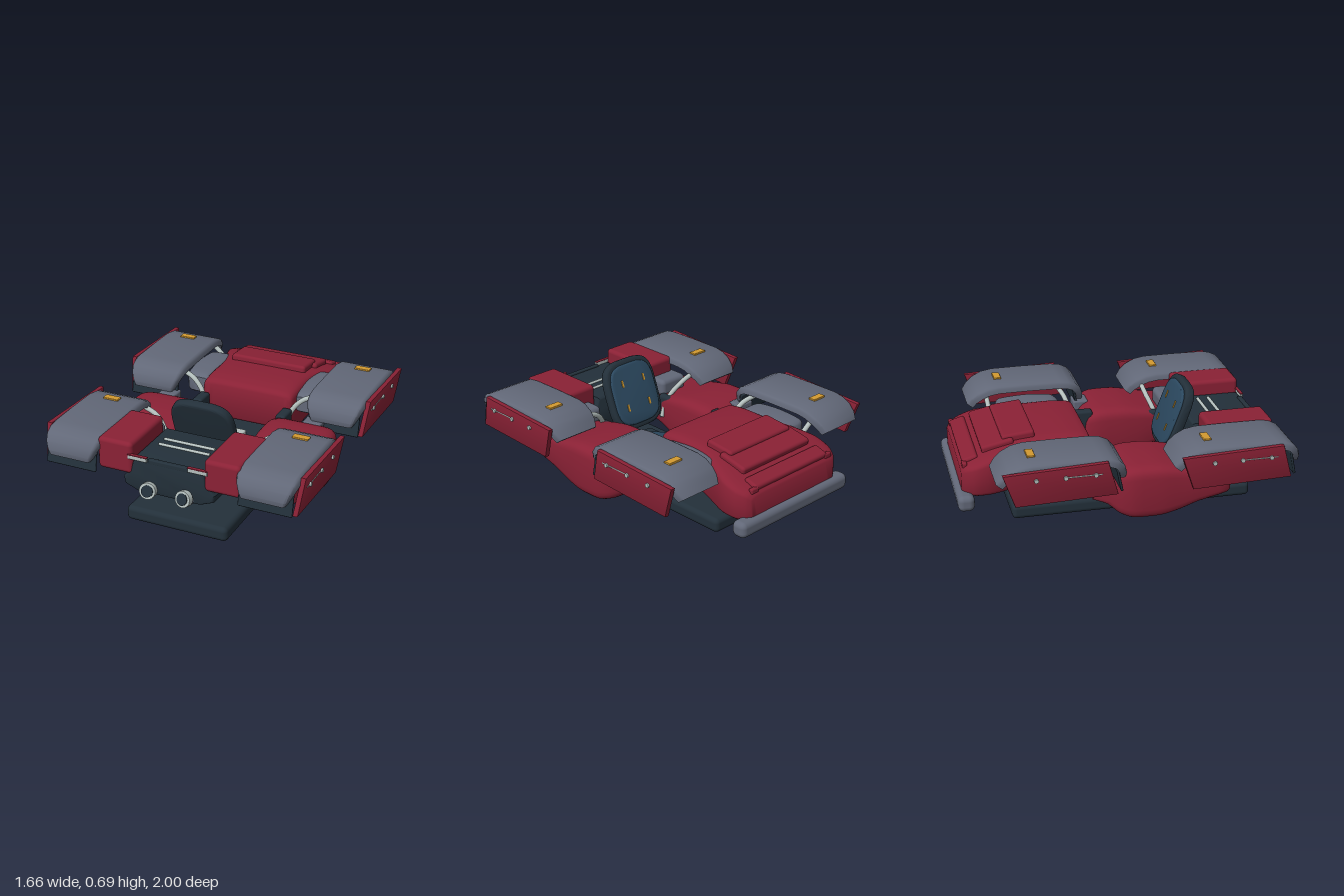
import * as THREE from 'three';
import { toCreasedNormals } from 'three/addons/utils/BufferGeometryUtils.js';
import { RoundedBoxGeometry } from 'three/addons/geometries/RoundedBoxGeometry.js';

const material = (name, color) => Object.assign(new THREE.MeshStandardMaterial({ color }), { name });
const V = (x, y, z) => new THREE.Vector3(x, y, z);

// Closed skin through a list of rings, with flat end caps
function loft(rings) {
  const n = rings[0].length, pos = [], idx = [];
  rings.forEach(r => r.forEach(p => pos.push(p.x, p.y, p.z)));
  for (let i = 0; i < rings.length - 1; i++) {
    for (let j = 0; j < n; j++) {
      const a = i * n + j, b = i * n + (j + 1) % n;
      idx.push(a, b, a + n, b, b + n, a + n);
    }
  }
  const last = (rings.length - 1) * n;
  for (let j = 0; j < n / 2 - 1; j++) {
    const [a, b, c, d] = [j, j + 1, n - 2 - j, n - 1 - j];
    idx.push(a, c, b, a, d, c, last + a, last + b, last + c, last + a, last + c, last + d);
  }
  // Signed volume decides which way the faces look
  const at = i => V(pos[i * 3], pos[i * 3 + 1], pos[i * 3 + 2]);
  let volume = 0;
  for (let i = 0; i < idx.length; i += 3) volume += at(idx[i]).dot(at(idx[i + 1]).cross(at(idx[i + 2])));
  if (volume < 0) idx.reverse();
  const g = new THREE.BufferGeometry();
  g.setAttribute('position', new THREE.Float32BufferAttribute(pos, 3));
  g.setIndex(idx);
  return toCreasedNormals(g, 0.75);
}

// Unit superellipse; a smaller e is boxier
function outline(e, n = 32) {
  const f = t => Math.sign(t) * Math.pow(Math.abs(t) < 1e-6 ? 0 : Math.abs(t), e);
  return Array.from({ length: n }, (_, i) => {
    const a = i / n * Math.PI * 2;
    return [f(Math.cos(a)), f(Math.sin(a))];
  });
}

// Hull smoothed through sections [z, x0, x1, y0, y1]
function hull(sections, e) {
  const spline = pick => new THREE.CatmullRomCurve3(sections.map(pick), false, 'catmullrom', 0.35);
  const sides = spline(s => V(s[0], s[1], s[2])), heights = spline(s => V(s[0], s[3], s[4]));
  const count = (sections.length - 1) * 3;
  return loft(Array.from({ length: count + 1 }, (_, i) => {
    const a = sides.getPoint(i / count), b = heights.getPoint(i / count);
    return outline(e).map(([u, v]) => V((a.y + a.z) / 2 + u * (a.z - a.y) / 2, (b.y + b.z) / 2 + v * (b.z - b.y) / 2, a.x));
  }));
}

// Rounded box from its limits
function block(x0, x1, y0, y1, z0, z1, r = 0.02) {
  return new RoundedBoxGeometry(x1 - x0, y1 - y0, z1 - z0, 3, r)
    .translate((x0 + x1) / 2, (y0 + y1) / 2, (z0 + z1) / 2);
}

// Cylinder between two points
function rod(a, b, r, sides = 16) {
  const d = b.clone().sub(a), g = new THREE.CylinderGeometry(r, r, d.length(), sides);
  g.applyQuaternion(new THREE.Quaternion().setFromUnitVectors(V(0, 1, 0), d.clone().normalize()));
  const m = a.clone().add(b).multiplyScalar(0.5);
  return g.translate(m.x, m.y, m.z);
}

const tube = (points, r) => new THREE.TubeGeometry(new THREE.CatmullRomCurve3(points), 20, r, 10);

function mirrored(geo) {
  const g = geo.index ? geo.toNonIndexed() : geo.clone();
  g.scale(-1, 1, 1);
  for (const key of ['position', 'normal']) {
    const a = g.attributes[key], p = V(), q = V();
    for (let i = 0; i < a.count; i += 3) {
      p.fromBufferAttribute(a, i + 1);
      q.fromBufferAttribute(a, i + 2);
      a.setXYZ(i + 1, q.x, q.y, q.z);
      a.setXYZ(i + 2, p.x, p.y, p.z);
    }
  }
  return g;
}

// Arched mudguard shell: a channel with rounded shoulders swept along a path of [z, y, half width]
function fenderGeometry(dz) {
  const path = [[0.995, 0.42, 0.14], [1, 0.45, 0.15], [0.985, 0.5, 0.168], [0.95, 0.54, 0.18], [0.9, 0.562, 0.185], [0.84, 0.57, 0.186],
    [0.64, 0.572, 0.186], [0.44, 0.57, 0.186], [0.37, 0.558, 0.184], [0.31, 0.53, 0.178], [0.265, 0.495, 0.166], [0.235, 0.455, 0.148]];
  const outer = [[0.87, 0], [0.94, -0.006], [0.98, -0.02], [1, -0.045]];
  const inner = [[0.95, -0.045], [0.92, -0.033], [0.86, -0.024]];
  const flip = list => list.map(([u, v]) => [-u, v]);
  const section = [...flip(outer).reverse(), ...outer, ...inner, ...flip(inner).reverse()];
  return loft(path.map(([z, y, hw], i) => {
    const a = path[Math.max(i - 1, 0)], b = path[Math.min(i + 1, path.length - 1)];
    const len = Math.hypot(b[0] - a[0], b[1] - a[1]);
    const nz = (b[1] - a[1]) / len, ny = -(b[0] - a[0]) / len;
    return section.map(([u, v]) => V(0.615 + u * hw, y + ny * v, z + nz * v + dz));
  }));
}

// Slanted side plate, leaning in at the bottom
function panelGeometry(dz) {
  const s = new THREE.Shape([[0.93, 0.35], [0.87, 0.555], [0.27, 0.53], [0.34, 0.33]].map(p => new THREE.Vector2(...p)));
  const g = new THREE.ExtrudeGeometry(s, { depth: 0.02, bevelThickness: 0.006, bevelSize: 0.006, bevelSegments: 2 });
  g.rotateY(-Math.PI / 2).translate(0.821, 0, dz);
  const p = g.attributes.position;
  for (let i = 0; i < p.count; i++) p.setX(i, p.getX(i) + (p.getY(i) - 0.55) * 0.1);
  return toCreasedNormals(g, 0.5);
}

export function createModel() {
  const model = new THREE.Group();
  model.name = 'vehicleBody';
  const red = material('red paint', 0x8a2135), gray = material('slate gray', 0x626878);
  const dark = material('dark trim', 0x23303a), blue = material('blue upholstery', 0x2b485f);
  const silver = material('silver metal', 0xb4bfbd), amber = material('amber', 0xd39a30);

  const add = (name, geo, mat) => {
    const m = new THREE.Mesh(geo, mat);
    m.name = name;
    model.add(m);
  };
  const pair = (name, geo, mat) => {
    add(name + 'Left', geo, mat);
    add(name + 'Right', mirrored(geo), mat);
  };

  // Floor and rear bumper
  add('floor', block(-0.33, 0.33, 0, 0.092, -0.66, 0.85, 0.03), dark);
  add('rearBumper', block(-0.465, 0.465, 0.15, 0.25, -1, -0.9, 0.035), gray);
  pair('pedal', block(0.06, 0.18, 0.09, 0.125, -0.3, -0.14, 0.01), silver);

  // Rear body with stepped lids
  add('rearBody', hull([[-0.165, -0.295, 0.295, 0.27, 0.48], [-0.185, -0.31, 0.31, 0.25, 0.505], [-0.3, -0.315, 0.315, 0.21, 0.52],
    [-0.5, -0.32, 0.32, 0.21, 0.515], [-0.63, -0.365, 0.365, 0.21, 0.5], [-0.78, -0.42, 0.42, 0.21, 0.465],
    [-0.88, -0.42, 0.42, 0.21, 0.43], [-0.94, -0.39, 0.39, 0.215, 0.405], [-0.965, -0.36, 0.36, 0.235, 0.375]], 0.25), red);
  const lids = [[0.26, -0.6, 0.2, 0.515, 0.1], [0.29, -0.73, 0.2, 0.478, 0.2], [0.315, -0.9, 0.1, 0.412, 0.3]];
  for (const [hw, z, d, y, tilt] of lids) {
    const g = new RoundedBoxGeometry(hw * 2, 0.055, d, 3, 0.018);
    add('rearLid', g.rotateX(-tilt).translate(0, y, z), red);
  }
  pair('lidHinge', block(0.29, 0.35, 0.385, 0.42, -0.955, -0.925, 0.01), red);

  // Bulging side pods
  pair('sidePod', hull([[0.62, 0.31, 0.61, 0.22, 0.34], [0.6, 0.27, 0.65, 0.19, 0.365], [0.42, 0.25, 0.67, 0.155, 0.38],
    [0.3, 0.23, 0.68, 0.115, 0.405], [0.18, 0.22, 0.69, 0.09, 0.425], [0.02, 0.22, 0.685, 0.09, 0.425],
    [-0.06, 0.24, 0.65, 0.115, 0.395], [-0.12, 0.29, 0.58, 0.155, 0.33], [-0.195, 0.33, 0.5, 0.16, 0.31]], 0.33), red);

  // Front console, cowls and trim
  const half = [[0.22, 0.48], [0.245, 0.4], [0.295, 0.34], [0.285, 0.28], [0.2, 0.235]];
  const section = new THREE.Shape([...half, ...half.map(([x, y]) => [-x, y]).reverse()].map(p => new THREE.Vector2(...p)));
  const consoleGeo = new THREE.ExtrudeGeometry(section, { depth: 0.39, bevelThickness: 0.02, bevelSize: 0.015, bevelOffset: -0.015, bevelSegments: 3 });
  const cp = consoleGeo.attributes.position;
  for (let i = 0; i < cp.count; i++) {
    // Underside rises toward the nose
    const z = cp.getZ(i), y = cp.getY(i);
    cp.setXYZ(i, cp.getX(i), y + Math.max(0, 0.36 - y) * 0.25 * z / 0.4, z + 0.52);
  }
  add('console', toCreasedNormals(consoleGeo, 0.7), dark);
  pair('frontCowl', block(0.23, 0.455, 0.37, 0.57, 0.525, 0.935, 0.025), red);
  pair('frontVent', block(0.13, 0.255, 0.473, 0.5, 0.925, 0.94, 0.004), silver);
  pair('ventLip', block(0.13, 0.255, 0.498, 0.504, 0.92, 0.943, 0.002), red);
  add('consoleLip', block(-0.13, 0.13, 0.46, 0.492, 0.9, 0.93, 0.008), dark);
  for (const z of [0.645, 0.715]) add('consoleBar', rod(V(-0.165, 0.482, z), V(0.165, 0.482, z), 0.01), silver);

  // Front pipes
  const foot = V(0.15, 0.235, 0.68), tip = V(0.113, 0.31, 0.975);
  pair('frontPipe', rod(foot, tip, 0.038), silver);
  pair('pipeCollar', rod(foot.clone().lerp(tip, 0.88), tip, 0.05), silver);
  pair('pipeRing', rod(foot.clone().lerp(tip, 0.76), foot.clone().lerp(tip, 0.83), 0.046), gray);
  pair('pipeMouth', rod(tip, tip.clone().add(V(-0.001, 0.002, 0.005)), 0.036), dark);

  // Seat
  add('seatBase', block(-0.2, 0.2, 0.08, 0.155, 0.09, 0.475, 0.025), dark);
  add('seatCushion', new THREE.SphereGeometry(1, 32, 16).scale(0.2, 0.035, 0.18).translate(0, 0.16, 0.25), blue);
  const roundPlate = (w, h, r, depth) => {
    const s = new THREE.Shape(outline(0.55, 48).map(([u, v]) => new THREE.Vector2(u * w, v * h)));
    const g = new THREE.ExtrudeGeometry(s, { depth, bevelThickness: r, bevelSize: r, bevelOffset: -r, bevelSegments: 4 });
    return toCreasedNormals(g.translate(0, 0, -depth / 2), 0.8);
  };
  const lean = g => g.rotateX(0.36).translate(0, 0.475, 0.43);
  add('seatBack', lean(roundPlate(0.205, 0.228, 0.016, 0.026)), dark);
  add('seatBackPad', lean(roundPlate(0.178, 0.198, 0.012, 0.012).translate(0, 0, -0.026)), blue);
  for (const y of [-0.08, 0.08]) pair('seatStud', lean(new THREE.BoxGeometry(0.012, 0.045, 0.008).translate(0.09, y, -0.045)), amber);
  pair('seatRail', block(0.25, 0.305, 0.2, 0.385, 0.25, 0.45, 0.025), dark);
  pair('rearBracket', block(0.255, 0.32, 0.25, 0.42, -0.16, -0.03, 0.015), dark);

  // Four wheel stations: front and rear are alike
  for (const [end, dz] of [['front', 0], ['rear', -1.05]]) {
    pair(end + 'Fender', fenderGeometry(dz), gray);
    pair(end + 'MudFlap', new RoundedBoxGeometry(0.33, 0.14, 0.015, 2, 0.006).rotateX(-0.2).translate(0.62, 0.42, 0.95 + dz), dark);
    pair(end + 'SidePanel', panelGeometry(dz), red);
    pair(end + 'PanelSlot', rod(V(0.819, 0.49, 0.84 + dz), V(0.819, 0.49, 0.625 + dz), 0.005, 8), silver);
    for (const z of [0.8, 0.625, 0.455]) {
      pair(end + 'Bolt', rod(V(0.805, 0.49, z + dz), V(0.832, 0.49, z + dz), 0.013, 12), silver);
    }
    pair(end + 'Marker', block(0.575, 0.675, 0.565, 0.58, 0.43 + dz, 0.477 + dz, 0.004), amber);
  }

  // Inner housings and mounts
  pair('rearHousing', hull([[-0.64, 0.31, 0.43, 0.37, 0.47], [-0.61, 0.3, 0.47, 0.35, 0.49], [-0.44, 0.29, 0.48, 0.34, 0.5],
    [-0.28, 0.3, 0.47, 0.35, 0.49], [-0.24, 0.31, 0.43, 0.37, 0.47]], 0.4), gray);
  pair('frontHousing', block(0.27, 0.48, 0.36, 0.47, 0.42, 0.7, 0.03), gray);
  pair('fenderMount', block(0.44, 0.56, 0.27, 0.42, -0.12, -0.02, 0.012), gray);

  // Curved support arms
  pair('frontArm', tube([V(0.24, 0.24, 0.4), V(0.29, 0.37, 0.385), V(0.37, 0.46, 0.35), V(0.5, 0.51, 0.34)], 0.016), silver);
  pair('middleArm', tube([V(0.27, 0.26, -0.15), V(0.31, 0.4, -0.17), V(0.38, 0.48, -0.19), V(0.5, 0.52, -0.22)], 0.016), silver);
  pair('rearArm', tube([V(0.34, 0.32, -0.66), V(0.39, 0.42, -0.68), V(0.5, 0.52, -0.69)], 0.016), silver);
  return model;
}
